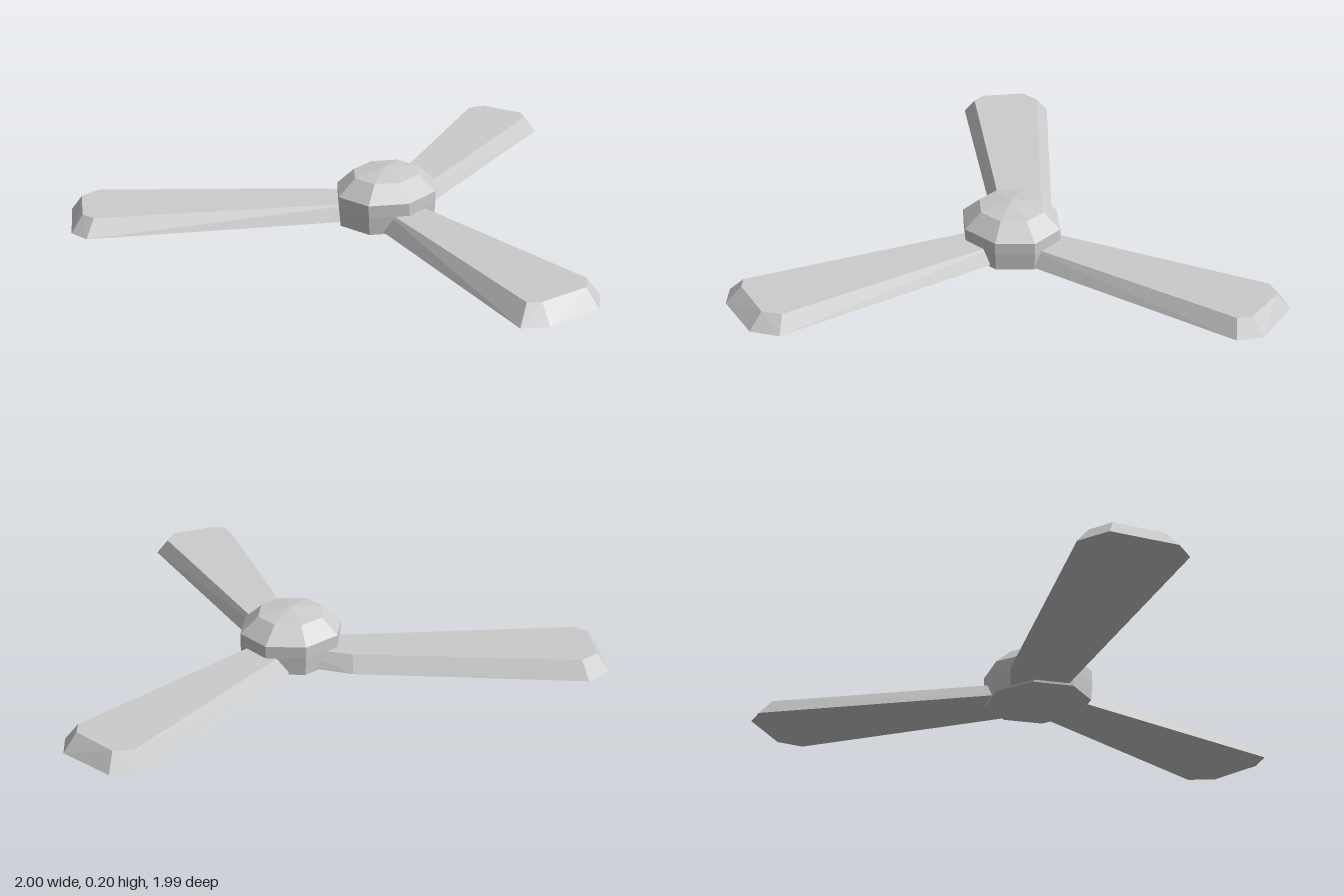
import * as THREE from 'three';
import { ConvexGeometry } from 'three/addons/geometries/ConvexGeometry.js';

const HUB = { x: -0.09, z: 0.1 };

// Outlines [x, z] of each blade, from root round the clipped tip and back:
// the wide underside and the inset upper face.
const BLADES = [
  {
    name: 'leftBlade',
    under: [[-0.05, 0.023], [0.94, 0.246], [0.995, 0.342], [0.94, 0.545], [0.87, 0.61], [-0.09, 0.2]],
    upper: [[-0.05, 0.054], [0.9, 0.273], [0.94, 0.337], [0.887, 0.515], [0.85, 0.547], [-0.09, 0.16]],
  },
  {
    name: 'backBlade',
    under: [[-0.19, 0.08], [-0.46, -0.89], [-0.41, -0.965], [-0.2, -1], [-0.12, -0.94], [0, 0.08]],
    upper: [[-0.15, 0.08], [-0.415, -0.866], [-0.377, -0.925], [-0.2, -0.945], [-0.158, -0.909], [-0.034, 0.08]],
  },
  {
    name: 'rightBlade',
    under: [[-0.14, 0.01], [-0.38, 0.15], [-1, 0.73], [-1, 0.84], [-0.825, 0.99], [-0.745, 0.99], [-0.1, 0.183]],
    upper: [[-0.16, 0.06], [-0.345, 0.176], [-0.95, 0.745], [-0.95, 0.828], [-0.815, 0.942], [-0.757, 0.94], [-0.12, 0.163]],
  },
];

// Bevelled slab that climbs gently from the hub to the tip
function bladeGeometry({ under, upper }) {
  const tip = new THREE.Vector2();
  upper.slice(2, -2).forEach(([x, z]) => tip.add(new THREE.Vector2(x - HUB.x, z - HUB.z)));
  tip.normalize();
  const lift = (outline, base, slope) => outline.map(([x, z]) => {
    const along = (x - HUB.x) * tip.x + (z - HUB.z) * tip.y;
    return new THREE.Vector3(x, base + slope * along, z);
  });
  return new ConvexGeometry([...lift(under, 0.003, 0.028), ...lift(upper, 0.062, 0.031)]);
}

export function createModel() {
  const group = new THREE.Group();
  const material = new THREE.MeshStandardMaterial({ color: 0xcccccc, flatShading: true });

  // Eight-sided hub with a low domed cap, slightly longer front to back
  const profile = [[0, 0], [0.181, 0], [0.186, 0.07], [0.186, 0.115], [0.122, 0.175], [0, 0.197]]
    .map(([r, y]) => new THREE.Vector2(r, y));
  const hub = new THREE.Mesh(new THREE.LatheGeometry(profile, 8, Math.PI / 8), material);
  hub.name = 'hub';
  hub.position.set(HUB.x, 0, HUB.z);
  hub.scale.z = 1.09;
  group.add(hub);

  // Three blades
  for (const blade of BLADES) {
    const mesh = new THREE.Mesh(bladeGeometry(blade), material);
    mesh.name = blade.name;
    group.add(mesh);
  }
  return group;
}
